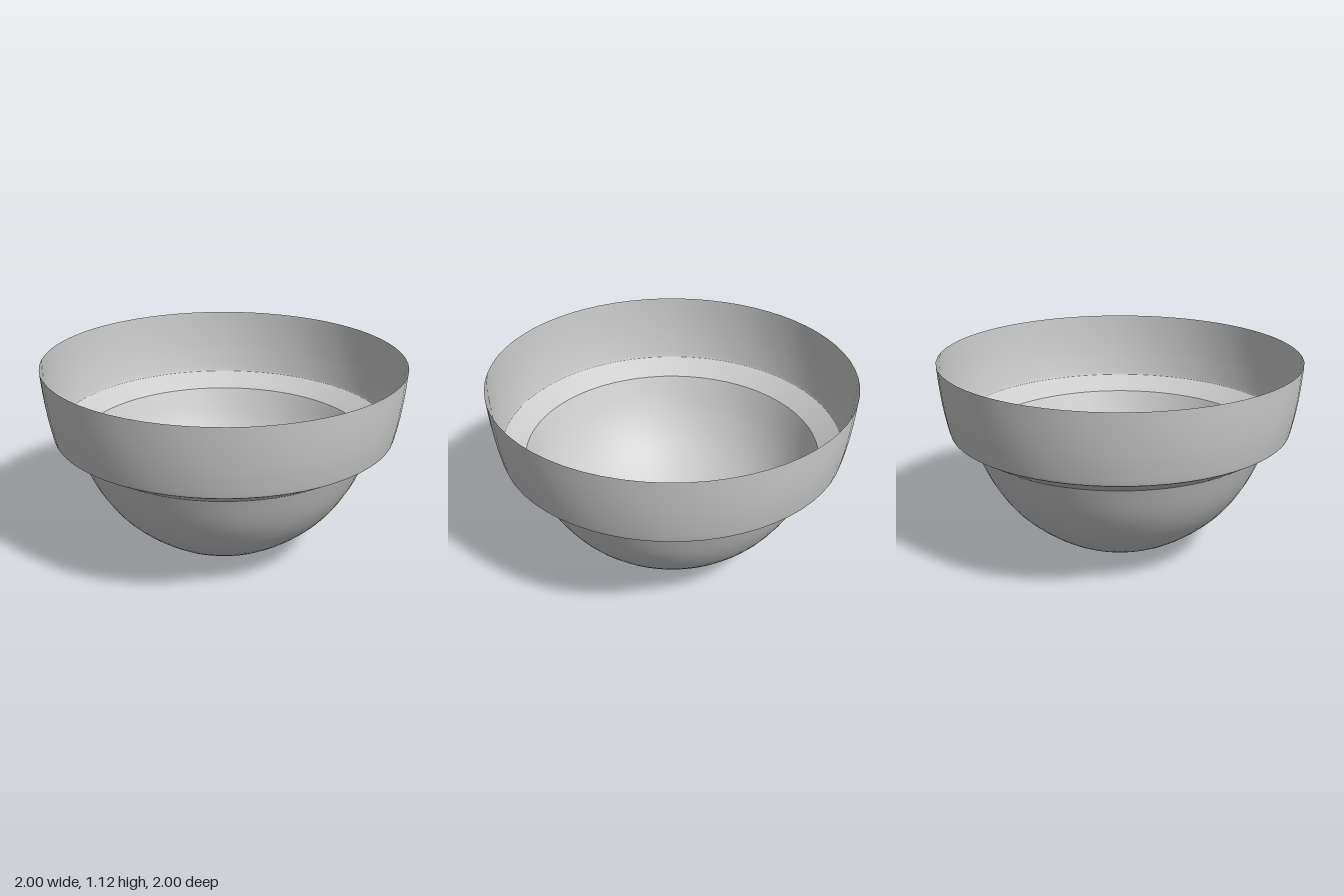
import * as THREE from 'three';

const SEGMENTS = 64;

// Revolve a profile of [radius, height] points; several points make a smooth curve.
function revolve(name, points, steps, material) {
  const curve = new THREE.SplineCurve(points.map(([r, y]) => new THREE.Vector2(r, y)));
  const mesh = new THREE.Mesh(new THREE.LatheGeometry(curve.getPoints(steps), SEGMENTS), material);
  mesh.name = name;
  return mesh;
}

export function createModel() {
  const group = new THREE.Group();
  group.name = 'steppedBowl';
  const material = new THREE.MeshStandardMaterial({ color: 0xcccccc, side: THREE.DoubleSide });

  // Rounded lower bowl
  group.add(revolve('lowerBowl', [
    [0, 0], [0.2, 0.025], [0.41, 0.115], [0.61, 0.275], [0.74, 0.46], [0.825, 0.66],
  ], 20, material));

  // Sloping ledge between the bowl and the wide rim
  group.add(revolve('ledge', [[0.825, 0.66], [0.945, 0.735]], 1, material));

  // Tall, gently flaring open rim
  group.add(revolve('rimWall', [
    [0.945, 0.735], [0.952, 0.75], [0.975, 0.87], [0.991, 1.0], [1, 1.12],
  ], 12, material));

  return group;
}
